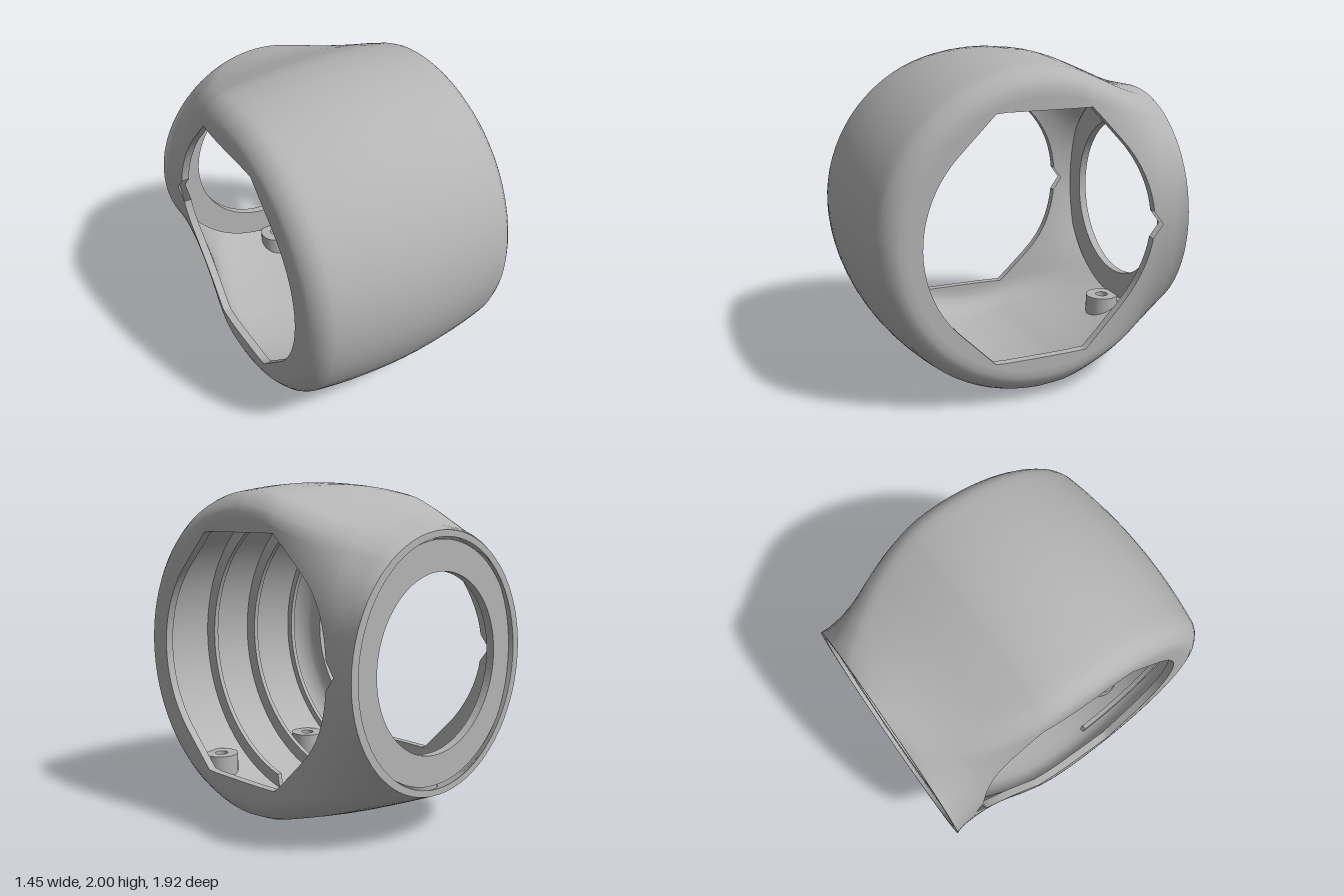
import * as THREE from 'three';
import { mergeVertices } from 'three/addons/utils/BufferGeometryUtils.js';

const CY = 1, CZ = -0.04;           // drum axis
const HOLE_R = 0.71, HOLE_FLAT = 0.715;

// side outline behind the axis: distance above / below the axis against z
const backCurve = (h) => new THREE.SplineCurve(h.map((y, k) => new THREE.Vector2(CZ - 0.184 * k, y)));
const topCurve = backCurve([1, 0.98, 0.912, 0.835, 0.775, 0.735]);
const bottomCurve = backCurve([1, 0.983, 0.933, 0.878, 0.81, 0.735]);
const BACK_T = [0, 0.06, 0.12, 0.18, 0.25, 0.28, 0.31, 0.38, 0.45, 0.52, 0.58, 0.63, 0.67, 0.7,
  0.725, 0.745, 0.758, 0.7667, 0.83, 0.92, 0.96, 1];

// rounded shoulder and crown of the drum: [x, fraction of the radius]
const SHOULDER = [[0.687, 0.835], [0.675, 0.868], [0.65, 0.9], [0.62, 0.928],
  ...[0.58, 0.52, 0.43, 0.33, 0.22, 0.11, 0].map((x) => [x, 1 - 0.16 * x * x])];

// side opening: circle with chamfered, flat top and bottom
function openingHeight(d) {
  if (d > HOLE_R) return 0;
  return d > HOLE_R * Math.SQRT1_2 ? Math.sqrt(HOLE_R ** 2 - d * d) : Math.min(HOLE_FLAT, HOLE_R * Math.SQRT2 - d);
}
function openingRadius(a) {
  const c = Math.abs(Math.cos(a)), s = Math.abs(Math.sin(a));
  return s < c ? HOLE_R : Math.min(HOLE_R * Math.SQRT2 / (c + s), HOLE_FLAT / s);
}

// stations round the outline, from top back over the front to bottom back
function makeStations() {
  const back = (curve, sign) => BACK_T.map((t) => {
    const p = curve.getPoint(t);
    return { u: t, z0: p.x, dz: 0, dy: sign * p.y, open: openingHeight(CZ - p.x) / p.y };
  });
  const front = [];
  for (let i = 1; i < 40; i++) {
    const a = Math.PI / 2 - (i / 40) * Math.PI;
    front.push({ u: 0, z0: CZ, dz: Math.cos(a), dy: Math.sin(a), open: openingRadius(a) });
  }
  return [...back(topCurve, 1).reverse(), ...front, ...back(bottomCurve, -1)];
}

// one row of points per station, from the +x opening across to the -x opening
function makeSkin(stations, k, sx) {
  return stations.map(({ u, z0, dz, dy, open }) => {
    const s0 = Math.min(open / k, 0.83), s1 = Math.max(0.8, s0), half = [];
    for (let i = 0; i <= 9; i++) half.push([0.69, s0 + (s1 - s0) * i / 9]);
    half.push(...SHOULDER);
    const pts = half.map(([x, s]) => {
      const c = Math.sqrt(Math.max(0, 1 - s * s));
      const w = u ** 2.5;
      const px = sx * (x * (1 - w) + 0.69 * c * w + 0.035 * c * u ** 10);
      return new THREE.Vector3(px, CY + dy * s * k, z0 + dz * s * k);
    });
    const mirrored = pts.slice(0, -1).reverse().map((p) => new THREE.Vector3(-p.x, p.y, p.z));
    return [...pts, ...mirrored];
  });
}

// opens a round screw hole in the grid around the point nearest to (x, z) underneath
function cutHole(rows, i, j, r, dropped) {
  const c = rows[i][j].clone();
  for (let a = -1; a <= 1; a++) for (let b = -1; b <= 1; b++) {
    if (!a && !b) continue;
    const p = rows[i + a][j + b], d = p.clone().sub(c);
    p.copy(c).addScaledVector(d, r / Math.hypot(d.x, d.z));
  }
  for (const a of [i - 1, i]) for (const b of [j - 1, j]) dropped.add(a + '_' + b);
}

function gridGeometry(rows, flip = false, dropped = new Set()) {
  const n = rows[0].length, pos = [], idx = [];
  rows.forEach((row) => row.forEach((p) => pos.push(p.x, p.y, p.z)));
  for (let i = 0; i + 1 < rows.length; i++) for (let j = 0; j + 1 < n; j++) {
    if (dropped.has(i + '_' + j)) continue;
    const a = i * n + j, b = a + n, c = a + 1, d = b + 1;
    if (flip) idx.push(a, b, c, b, d, c);
    else idx.push(a, c, b, b, c, d);
  }
  let g = new THREE.BufferGeometry();
  g.setAttribute('position', new THREE.Float32BufferAttribute(pos, 3));
  g.setIndex(idx);
  g = mergeVertices(g, 1e-5);
  g.computeVertexNormals();
  return g;
}

export function createModel() {
  const group = new THREE.Group();
  const grey = new THREE.MeshStandardMaterial({ color: 0xb4b4b4, side: THREE.DoubleSide });
  grey.name = 'grey plastic';
  const add = (name, geometry) => {
    const m = new THREE.Mesh(geometry, grey);
    m.name = name;
    group.add(m);
    return m;
  };

  // shell skins
  const stations = makeStations();
  const outer = makeSkin(stations, 1, 1);
  const inner = makeSkin(stations, 0.95, 0.93);
  const last = stations.length - 1, cols = outer[0].length;

  // screw holes underneath, with hollow bosses standing over them
  const dropped = new Set();
  const screws = [
    { x: 0.43, z: 0.45, top: 0.3, slope: 0.58 },
    { x: -0.33, z: 0.45, top: 0.3, slope: 0.58 },
    { x: 0, z: -0.8, top: 0.33, slope: -0.38 },
  ];
  for (const { x, z, top, slope } of screws) {
    let bi = 0, bj = 0, best = Infinity;
    for (let i = last >> 1; i < last; i++) for (let j = 12; j < cols - 12; j++) {
      const p = outer[i][j], d = Math.hypot(p.x - x, p.z - z);
      if (p.y < 0.5 && d < best) [best, bi, bj] = [d, i, j];
    }
    const c = outer[bi][bj].clone();
    cutHole(outer, bi, bj, 0.065, dropped);
    cutHole(inner, bi, bj, 0.065, dropped);
    const h = top - c.y;
    const profile = [[0.065, 0.012], [0.065, h - 0.06], [0.065, h - 0.06], [0.04, h - 0.06], [0.04, h - 0.06],
      [0.04, h], [0.04, h], [0.105, h], [0.105, h], [0.105, 0.025]];
    const g = new THREE.LatheGeometry(profile.map(([r, y]) => new THREE.Vector2(r, y)), 28);
    const p = g.attributes.position;
    for (let i = 0; i < p.count; i++) {
      if (p.getY(i) < 0.03) p.setY(i, p.getY(i) + slope * p.getZ(i));   // foot follows the floor
    }
    add('screwBoss', g).position.copy(c);
  }

  add('outerShell', gridGeometry(outer, false, dropped));
  add('innerShell', gridGeometry(inner, true, dropped));

  // edges of the side openings and of the back neck
  for (const j of [0, cols - 1]) {
    const ring = stations.map((s, i) => i).filter((i) => stations[i].open > 0 || stations[i].u === 0.7667);
    add('sideOpeningEdge', gridGeometry(ring.map((i) => [outer[i][j], inner[i][j]]), j === 0));
  }
  for (const i of [0, last]) {
    add('neckRim', gridGeometry([outer[i], inner[i]], i === 0));
  }

  // recessed ring plate closing the neck
  const plate = new THREE.Shape().absarc(0, 0, 0.685, 0, Math.PI * 2, false);
  plate.holes.push(new THREE.Path().absarc(0, 0, 0.51, 0, Math.PI * 2, true));
  add('neckPlate', new THREE.ExtrudeGeometry(plate, { depth: 0.05, bevelEnabled: false, curveSegments: 48 }))
    .position.set(0, CY, -0.935);

  // curved ribs along the inside of the front wall
  for (const x of [-0.52, -0.17, 0.18, 0.57]) {
    const rib = new THREE.Shape();
    rib.absarc(0, 0, 0.965 * (1 - 0.16 * x * x), -1.35, 1.35, false);
    rib.absarc(0, 0, 0.865, 1.3, -1.3, true);
    const m = add('innerRib', new THREE.ExtrudeGeometry(rib, { depth: 0.03, bevelEnabled: false, curveSegments: 40 }));
    m.rotation.y = -Math.PI / 2;
    m.position.set(x + 0.015, CY, CZ);
  }
  return group;
}
